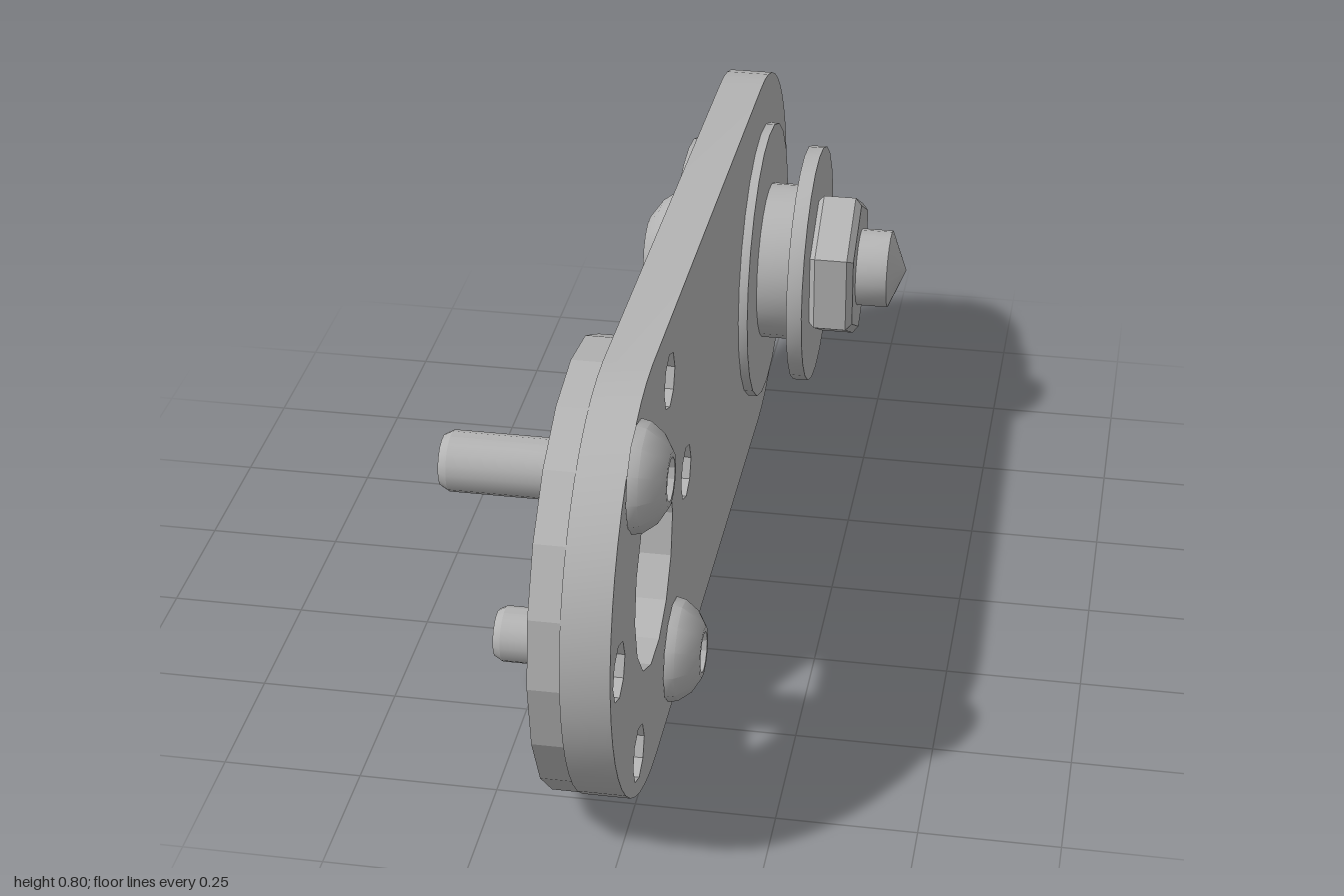
import * as THREE from 'three';
import { toCreasedNormals } from 'three/addons/utils/BufferGeometryUtils.js';

const steel = new THREE.MeshStandardMaterial({ color: 0xb4b4b4 });
steel.name = 'steel grey';

// Regular polygon points around (u, v); u runs along -z, v along y
function ringPoints(u, v, r, sides, start = 0, wave = 0) {
  const pts = [];
  for (let i = 0; i < sides; i++) {
    const a = start + (i / sides) * Math.PI * 2;
    const rr = r + (i % 2 ? wave : -wave);
    pts.push(new THREE.Vector2(u + Math.cos(a) * rr, v + Math.sin(a) * rr));
  }
  return pts;
}

// Extrude a (u, v) shape along x from x0 to x1
function slab(name, shape, x0, x1, curveSegments = 10) {
  const g = new THREE.ExtrudeGeometry(shape, { depth: x1 - x0, bevelEnabled: false, curveSegments });
  g.translate(0, 0, x0);
  g.rotateY(Math.PI / 2);
  const mesh = new THREE.Mesh(toCreasedNormals(g, 0.2), steel);
  mesh.name = name;
  return mesh;
}

// Turn a profile of [radius, x] pairs (x rising) around the x axis
function turned(name, profile, y, z, sides = 24, crease = 0.4, start = 0) {
  let g = new THREE.LatheGeometry(profile.map(([r, x]) => new THREE.Vector2(r, x)), sides, start);
  g.rotateZ(-Math.PI / 2);
  g = toCreasedNormals(g, crease);
  const mesh = new THREE.Mesh(g, steel);
  mesh.name = name;
  mesh.position.set(0, y, z);
  return mesh;
}

export function createModel() {
  const model = new THREE.Group();
  model.name = 'linkArm';

  const eyeU = -0.6, eyeV = 0.403, hubY = 0.388, hubZ = -0.615;

  // Six bolt positions around the large opening; two carry screws
  const bolts = [];
  for (let i = 0; i < 6; i++) {
    const a = (i * Math.PI) / 3;
    bolts.push([eyeU + Math.cos(a) * 0.325, eyeV + Math.sin(a) * 0.325]);
  }
  const addHoles = (shape) => {
    shape.holes.push(new THREE.Path(ringPoints(eyeU, eyeV, 0.182, 14)));
    for (const [u, v] of bolts) shape.holes.push(new THREE.Path(ringPoints(u, v, 0.052, 8)));
  };

  // Main arm plate with rounded ends
  const arm = new THREE.Shape();
  arm.absarc(-hubZ, hubY, 0.385, -Math.PI / 2, Math.PI / 2, false);
  arm.absarc(eyeU, eyeV, 0.402, Math.PI / 2, Math.PI * 1.5, false);
  arm.closePath();
  addHoles(arm);
  model.add(slab('armPlate', arm, -0.075, 0.01, 12));

  // Backing ring behind the large opening
  const ring = new THREE.Shape(ringPoints(eyeU, eyeV, 0.4, 20));
  addHoles(ring);
  model.add(slab('backingRing', ring, -0.13, -0.075));

  // Two domed socket screws on opposite bolt positions
  for (const i of [2, 5]) {
    const [u, v] = bolts[i];
    const screw = new THREE.Group();
    screw.name = 'screw';
    screw.add(turned('screwShank',
      [[0, -0.315], [0.044, -0.315], [0.052, -0.3], [0.052, 0.012]], v, -u, 18));
    screw.add(turned('screwHead',
      [[0.05, 0.01], [0.097, 0.012], [0.093, 0.03], [0.075, 0.054], [0.048, 0.07], [0.038, 0.07]], v, -u, 12, 0.6));
    // Hexagonal socket sunk into the head
    screw.add(turned('screwSocket', [[0.045, 0.0699], [0.038, 0.07]], v, -u, 12));
    const socket = turned('socketWall', [[0.038, 0.07], [0.036, 0.03], [0, 0.03]], v, -u, 12, 0.3);
    screw.add(socket);
    model.add(screw);
  }

  // Pivot: domed bolt head on the back
  model.add(turned('pivotBoltHead',
    [[0, -0.222], [0.072, -0.222], [0.11, -0.195], [0.135, -0.16], [0.145, -0.135], [0, -0.135]],
    hubY, hubZ, 14, 0.6));
  model.add(turned('backWasher',
    [[0, -0.138], [0.242, -0.138], [0.242, -0.11], [0, -0.11]], hubY, hubZ));

  // Wavy washer against the back of the plate
  const wavy = new THREE.Shape(ringPoints(-hubZ, hubY, 0.29, 24, 0, 0.012));
  model.add(slab('wavyWasher', wavy, -0.11, -0.075));

  // Flange, spacer and washer on the outer side
  model.add(turned('spacerFlange',
    [[0.283, 0.008], [0.283, 0.028], [0.16, 0.028]], hubY, hubZ));
  model.add(turned('spacer', [[0.16, 0.02], [0.16, 0.102]], hubY, hubZ));
  model.add(turned('outerWasher',
    [[0, 0.1], [0.242, 0.1], [0.242, 0.131], [0, 0.131]], hubY, hubZ));

  // Hexagonal nut with chamfered rims, corner up
  model.add(turned('hexNut',
    [[0, 0.13], [0.142, 0.13], [0.156, 0.142], [0.156, 0.207], [0.14, 0.219], [0, 0.219]],
    hubY, hubZ, 6, 0.1, Math.PI / 2));

  // Bolt end with a pointed tip
  model.add(turned('boltEnd',
    [[0.079, 0.21], [0.079, 0.282], [0, 0.315]], hubY, hubZ, 18));

  return model;
}
